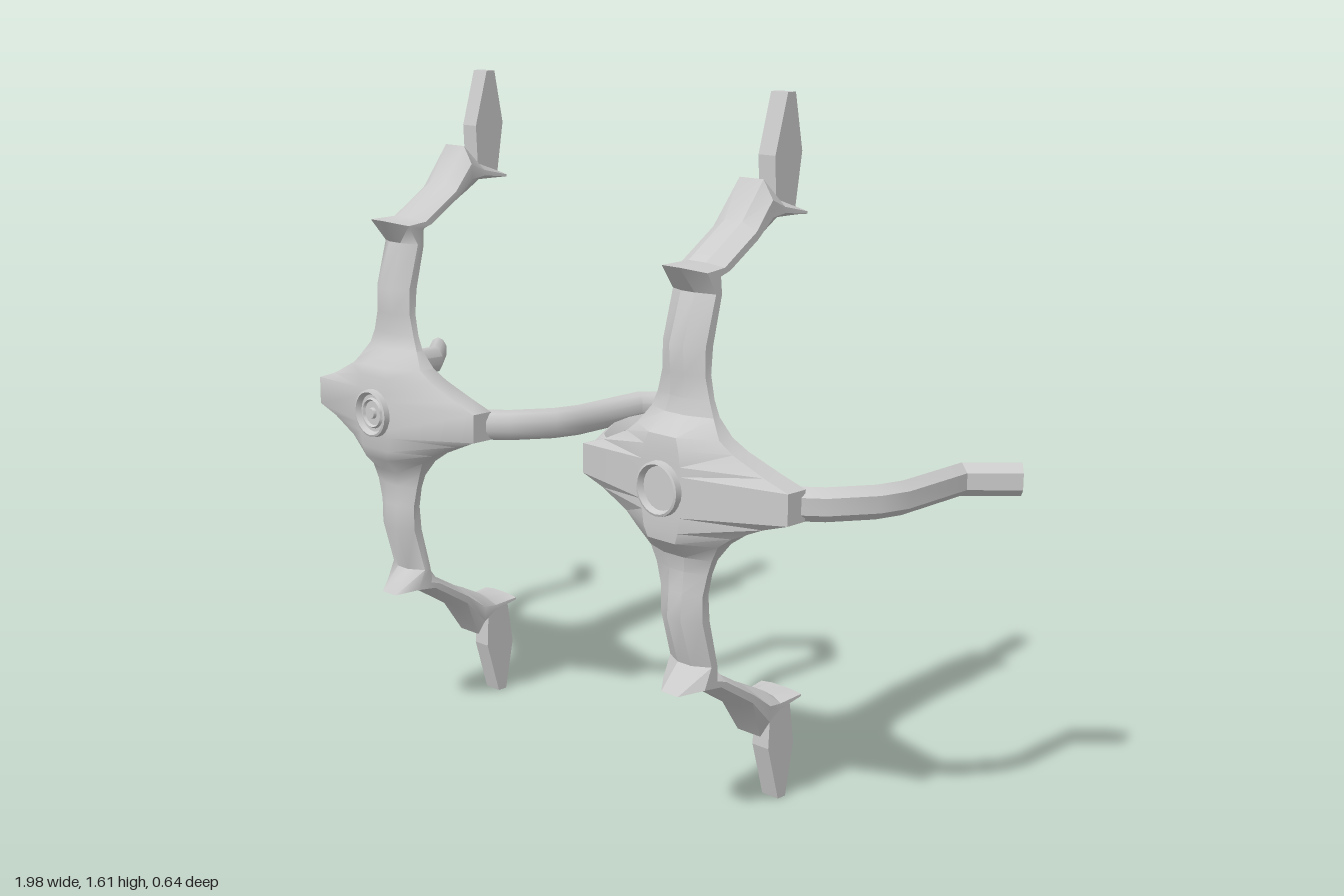
import * as THREE from 'three';
import { toCreasedNormals } from 'three/addons/utils/BufferGeometryUtils.js';

const CENTRE_Y = 0.8075;

// Skin a list of closed rings (counter-clockwise about the travel direction) and cap both ends
function loft(rings, crease) {
  const n = rings[0].length;
  const index = [];
  for (let i = 0; i < rings.length - 1; i++) {
    for (let j = 0; j < n; j++) {
      const a = i * n + j, b = i * n + (j + 1) % n;
      index.push(a, b, b + n, a, b + n, a + n);
    }
  }
  const last = (rings.length - 1) * n;
  for (let j = 1; j < n - 1; j++) {
    index.push(0, j + 1, j, last, last + j, last + j + 1);
  }
  const geo = new THREE.BufferGeometry();
  geo.setAttribute('position', new THREE.Float32BufferAttribute(rings.flat(2), 3));
  geo.setIndex(index);
  return toCreasedNormals(geo, crease);
}

// Upright spine, centre to tip: front z, front y, back z, back y, half width, ridge half width
const SPINE = [
  [0.305, 0.034, 0.145, 0.034, 0.30, 0.055],
  [0.305, 0.055, 0.148, 0.055, 0.235, 0.055],
  [0.305, 0.09, 0.165, 0.09, 0.155, 0.05],
  [0.302, 0.115, 0.18, 0.115, 0.12, 0.04],
  [0.262, 0.155, 0.207, 0.155, 0.09, 0.03],
  [0.255, 0.19, 0.21, 0.19, 0.075, 0.022],
  [0.258, 0.24, 0.205, 0.24, 0.062, 0.02],
  [0.262, 0.30, 0.197, 0.30, 0.062, 0.02],
  [0.228, 0.41, 0.175, 0.405, 0.062, 0.02],
  [0.28, 0.468, 0.16, 0.435, 0.062, 0.025],
  [0.20, 0.470, 0.152, 0.447, 0.062, 0.025],
  [0.09, 0.545, 0.077, 0.495, 0.062, 0.025],
  [0.035, 0.63, 0.03, 0.52, 0.06, 0.034],
  [-0.01, 0.585, -0.015, 0.545, 0.055, 0.03],
  [-0.08, 0.56, -0.08, 0.545, 0.06, 0.03],
];

function spineRing([fz, fy, bz, by, w, r], s) {
  // the lower half leans back slightly towards its tip
  const lean = s < 0 ? -0.02 * Math.max(0, fy - 0.4) / 0.2 : 0;
  const point = (x, t) => [x, s * (fy + (by - fy) * t), fz + (bz - fz) * t + lean];
  return [
    point(r, 0), point(w, 0.38), point(w, 0.72), point(r, 1),
    point(-r, 1), point(-w, 0.72), point(-w, 0.38), point(-r, 0),
  ];
}

// Curved side arm: offset from the hub, z
const ARM = [[0.20, 0.222], [0.26, 0.207], [0.325, 0.155], [0.383, 0.065],
  [0.40, 0], [0.395, -0.21], [0.487, -0.30]];

function armRings(side, sides) {
  const pts = ARM.map(([x, z]) => new THREE.Vector2(side * x, z));
  return pts.map((p, i) => {
    const before = p.clone().sub(pts[Math.max(i - 1, 0)]).normalize();
    const after = pts[Math.min(i + 1, pts.length - 1)].clone().sub(p).normalize();
    const t = before.clone().add(after).normalize();
    // widen at bends so the thickness stays even
    const mitre = 0.025 / Math.max(0.7, t.dot(after.lengthSq() ? after : before));
    return Array.from({ length: sides }, (_, k) => {
      const a = (k + 0.5) / sides * Math.PI * 2;
      const u = mitre * Math.cos(a);
      return [p.x + t.y * u, 0.037 * Math.sin(a), p.y - t.x * u];
    });
  });
}

// Pointed blade outline in z, y
const BLADE = [[-0.05, 0.807], [-0.075, 0.807], [-0.1, 0.68],
  [-0.08, 0.553], [-0.018, 0.57], [-0.013, 0.675]];

function bladeGeometry(s) {
  const lean = s < 0 ? -0.015 : 0;
  const shape = new THREE.Shape(BLADE.map(([z, y]) => new THREE.Vector2(z + lean, s * y)));
  const geo = new THREE.ExtrudeGeometry(shape, { depth: 0.048, bevelEnabled: false });
  return geo.rotateY(-Math.PI / 2).translate(0.024, 0, 0);
}

function createFrame(name, smooth) {
  const group = new THREE.Group();
  group.name = name;
  const material = new THREE.MeshStandardMaterial({ color: 0xcccccc, side: THREE.DoubleSide });
  const crease = smooth ? 0.9 : 0.4;
  const add = (part, geo) => {
    const mesh = new THREE.Mesh(geo, material);
    mesh.name = part;
    group.add(mesh);
    return mesh;
  };

  // hub and upright arms in one skin
  const rings = [
    ...SPINE.map((row) => spineRing(row, -1)).reverse(),
    ...SPINE.map((row) => spineRing(row, 1)),
  ];
  add('hubAndUprights', loft(rings, crease));

  // side arms and end blades
  for (const s of [1, -1]) {
    add(s > 0 ? 'leftArm' : 'rightArm', loft(armRings(s, smooth ? 10 : 6), crease));
    add(s > 0 ? 'upperBlade' : 'lowerBlade', bladeGeometry(s));
  }

  // round dish on the hub face, with inner rings on the smooth frame
  const dish = smooth
    ? [[0, 0.316], [0.012, 0.316], [0.014, 0.308], [0.03, 0.308], [0.034, 0.314],
      [0.038, 0.308], [0.046, 0.308], [0.053, 0.321], [0.058, 0.319], [0.06, 0.297]]
    : [[0, 0.307], [0.048, 0.307], [0.054, 0.321], [0.059, 0.319], [0.061, 0.297]];
  const lathe = new THREE.LatheGeometry(dish.map(([r, z]) => new THREE.Vector2(r, z)), 24);
  add('hubDish', toCreasedNormals(lathe.rotateX(Math.PI / 2), 0.5));

  return group;
}

export function createModel() {
  const model = new THREE.Group();
  model.name = 'twinFrames';
  // smooth frame on the right, faceted frame on the left
  [['rightFrame', true, -0.487], ['leftFrame', false, 0.487]].forEach(([name, smooth, x]) => {
    const frame = createFrame(name, smooth);
    frame.position.set(x, CENTRE_Y, 0);
    model.add(frame);
  });
  return model;
}
